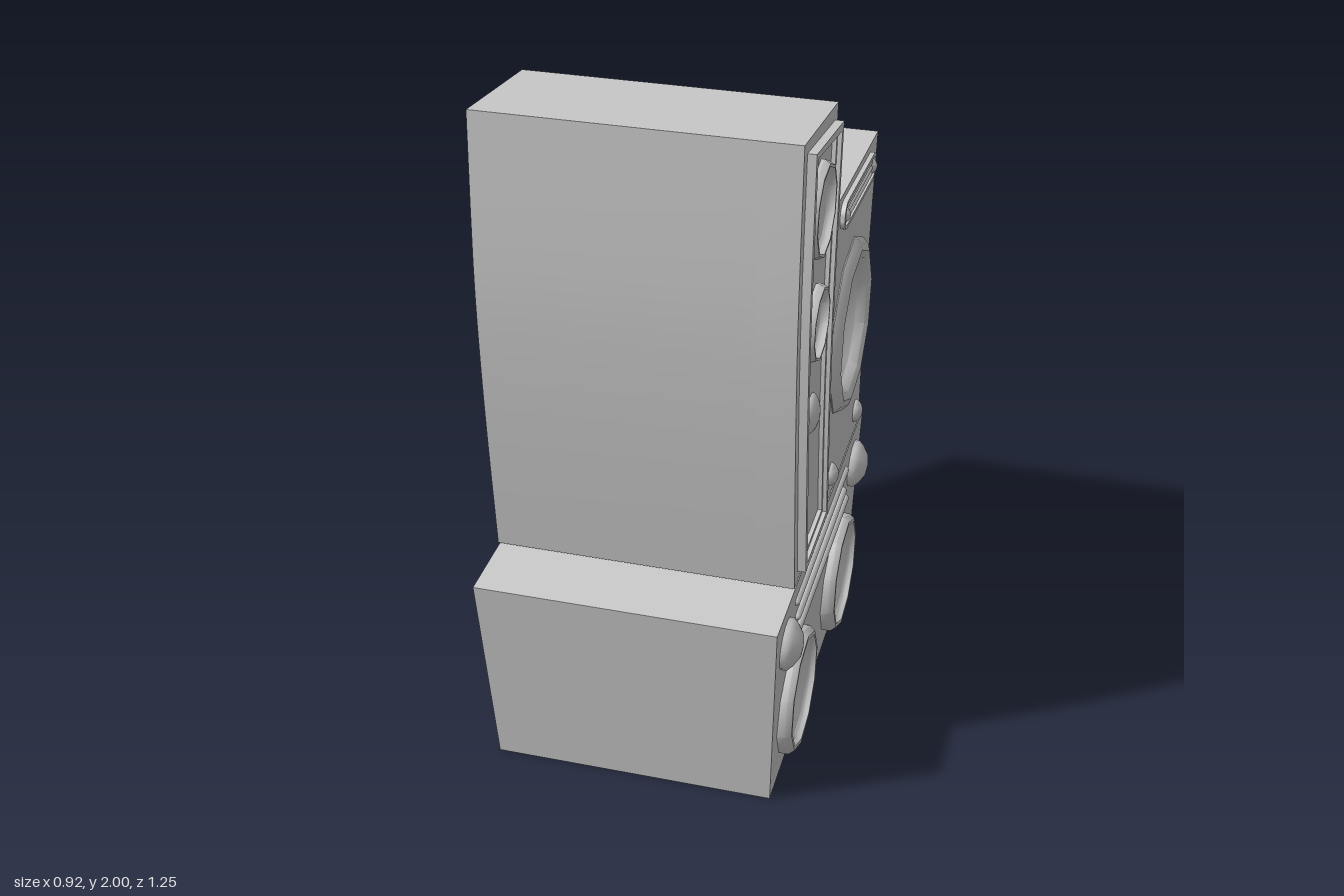
import * as THREE from 'three';
import { toCreasedNormals } from 'three/addons/utils/BufferGeometryUtils.js';

// Everything is laid out facing local +z, then turned so the speakers face +x.
const BACK = -0.46, FACE = 0.41, BAFFLE = 0.3;
const SIDES = 10, TURN = -0.15;
const mat = new THREE.MeshStandardMaterial({ color: 0xcccccc });
const V = (x, y) => new THREE.Vector2(x, y);

function add(parent, name, geo, x = 0, y = 0, z = 0) {
  const mesh = new THREE.Mesh(geo, mat);
  mesh.name = name;
  mesh.position.set(x, y, z);
  parent.add(mesh);
  return mesh;
}

function extrude(shape, z0, z1) {
  const g = new THREE.ExtrudeGeometry(shape, { depth: z1 - z0, bevelEnabled: false, curveSegments: 8 });
  return toCreasedNormals(g.translate(0, 0, z0), 0.5);
}

// Closed outline between two curved side edges (each listed bottom to top), optionally inset
function outline(left, right, inset = 0) {
  const edge = (pts, dir) => {
    const y0 = pts[0][1], h = pts[pts.length - 1][1] - y0;
    return new THREE.SplineCurve(pts.map(p => V(...p))).getPoints(pts.length > 2 ? 12 : 1)
      .map(p => V(p.x + dir * inset, y0 + inset + (p.y - y0) * (h - 2 * inset) / h));
  };
  return [...edge(right, -1), ...edge(left, 1).reverse()];
}

// Solid cabinet with a front baffle cut open behind each driver
function cabinet(parent, points, drivers, taper = g => g) {
  add(parent, 'cabinetBody', taper(extrude(new THREE.Shape(points), BACK, BAFFLE)));
  const front = new THREE.Shape(points);
  for (const [x, y, r] of drivers) {
    const hole = [];
    for (let i = 0; i < SIDES; i++) {
      const a = Math.PI / 2 + TURN + i * 2 * Math.PI / SIDES;
      hole.push(V(x + 0.86 * r * Math.cos(a), y + 0.86 * r * Math.sin(a)));
    }
    front.holes.push(new THREE.Path(hole));
  }
  add(parent, 'frontBaffle', taper(extrude(front, BAFFLE, FACE)));
}

// Turned part: profile of [radius, depth] running from the outer rim to the centre
function turned(profile, segments, crease = 0.7) {
  const g = new THREE.LatheGeometry(profile.map(p => V(...p)), segments);
  return toCreasedNormals(g.rotateX(Math.PI / 2).rotateZ(TURN), crease);
}

// Rim, recessed cone and dust cap
const rimProfile = [[1, 0.38], [1, 0.418], [0.93, 0.435], [0.87, 0.435], [0.85, 0.42], [0.8, 0.412]];
const surroundProfile = [[1, 0.4], [1, 0.413], [0.93, 0.43], [0.85, 0.437], [0.77, 0.427], [0.71, 0.4]];
function driver(parent, name, [x, y, r], rim, floor) {
  const group = new THREE.Group();
  group.name = name;
  group.position.set(x, y, 0);
  parent.add(group);
  const scaled = rim.map(([k, d]) => [k * r, d]);
  const last = scaled[scaled.length - 1];
  add(group, 'rim', turned(scaled, SIDES));
  add(group, 'cone', turned([last, [0.5 * r, floor + 0.01], [0.32 * r, floor], [0, floor]], SIDES));
  add(group, 'dustCap', dome(0.29 * r, floor, 0.16 * r));
}

function dome(r, z, height) {
  const pts = [];
  for (let i = 0; i <= 5; i++) {
    const a = i * Math.PI / 10;
    pts.push([i === 5 ? 0 : r * Math.cos(a), z + height * Math.sin(a)]);
  }
  return turned(pts, 14, 0.9);
}

function bar(parent, name, x, y, z, length, r) {
  const g = new THREE.CapsuleGeometry(r, length - 2 * r, 4, 8).rotateZ(Math.PI / 2);
  return add(parent, name, g, x, y, z);
}

function stadium(half, r, Type) {
  const s = new Type();
  s.absarc(half, 0, r, -Math.PI / 2, Math.PI / 2, false);
  s.absarc(-half, 0, r, Math.PI / 2, Math.PI * 1.5, false);
  s.closePath();
  return s;
}

function makeGroup(parent, name) {
  const g = new THREE.Group();
  g.name = name;
  parent.add(g);
  return g;
}

export function createModel() {
  const model = new THREE.Group();
  model.name = 'speakerStack';
  const stack = makeGroup(model, 'stack');
  stack.rotation.y = Math.PI / 2;

  // Wide base cabinet, narrowing towards the floor
  const base = makeGroup(stack, 'baseCabinet');
  const baseDrivers = [[-0.333, 0.23, 0.19], [0.27, 0.23, 0.19]];
  const taper = g => {
    const p = g.attributes.position;
    for (let i = 0; i < p.count; i++) p.setZ(i, p.getZ(i) * (0.944 + 0.056 * p.getY(i) / 0.635));
    return toCreasedNormals(g, 0.5);
  };
  cabinet(base, outline([[-0.56, 0], [-0.624, 0.635]], [[0.555, 0], [0.603, 0.635]]), baseDrivers, taper);
  for (const d of baseDrivers) driver(base, 'baseWoofer', d, rimProfile, 0.365);
  for (const x of [-0.49, 0.47]) {
    add(base, 'baseTweeter', turned([[0.076, 0.39], [0.074, 0.42], [0.06, 0.435], [0.035, 0.451], [0, 0.457]], 14, 0.9), x, 0.513);
  }
  for (const [x, y, length] of [[-0.015, 0.57, 0.73], [-0.015, 0.505, 0.69], [-0.012, 0.45, 0.77]]) {
    bar(base, 'ventBar', x, y, 0.407, length, 0.013);
  }

  // Tall curved tower
  const tower = makeGroup(stack, 'tower');
  const towerLeft = [[-0.413, 0.645], [-0.447, 1.0], [-0.468, 1.3], [-0.475, 1.58], [-0.46, 2]];
  const towerRight = [[-0.04, 0.645], [-0.064, 0.95], [-0.074, 1.25], [-0.066, 1.55], [-0.037, 1.945]];
  const towerDrivers = [[-0.265, 1.74, 0.135], [-0.275, 1.415, 0.11]];
  cabinet(tower, outline(towerLeft, towerRight), towerDrivers);
  for (const [name, outer, inner, top] of [['outerFrame', 0.036, 0.056, 0.434], ['innerFrame', 0.056, 0.068, 0.422]]) {
    const frame = new THREE.Shape(outline(towerLeft, towerRight, outer));
    frame.holes.push(new THREE.Path(outline(towerLeft, towerRight, inner)));
    add(tower, name, extrude(frame, FACE - 0.005, top));
  }
  for (const d of towerDrivers) driver(tower, 'towerWoofer', d, rimProfile, 0.38);
  add(tower, 'towerTweeter', dome(0.06, FACE - 0.005, 0.032), -0.275, 1.135);

  // Large bass cabinet behind the tower
  const bass = makeGroup(stack, 'bassCabinet');
  const bassLeft = [[-0.016, 0.645], [-0.037, 0.95], [-0.05, 1.25], [-0.056, 1.45], [-0.053, 1.63]];
  const bassRight = [[0.524, 0.645], [0.537, 0.9], [0.555, 1.155], [0.587, 1.37], [0.624, 1.587]];
  const bassDriver = [0.254, 1.13, 0.272];
  cabinet(bass, outline(bassLeft, bassRight), [bassDriver]);
  driver(bass, 'bassWoofer', bassDriver, surroundProfile, 0.335);
  add(bass, 'dustCapRing', new THREE.TorusGeometry(0.08, 0.01, 6, 14), 0.254, 1.13, 0.338);
  for (const x of [0.069, 0.445]) add(bass, 'knob', dome(0.037, FACE - 0.005, 0.03), x, 0.723);

  // Tilted slot with bars and end studs
  const slot = makeGroup(bass, 'slotVent');
  slot.position.set(0.296, 1.545, 0);
  slot.rotation.z = -0.077;
  const ring = stadium(0.2, 0.042, THREE.Shape);
  ring.holes.push(stadium(0.2, 0.031, THREE.Path));
  add(slot, 'slotFrame', extrude(ring, FACE - 0.005, 0.424));
  for (const y of [-0.019, 0, 0.019]) bar(slot, 'slotBar', 0, y, 0.414, 0.39, 0.009);
  for (const x of [-0.205, 0.205]) add(slot, 'slotStud', dome(0.026, FACE - 0.005, 0.028), x, 0);

  return model;
}
